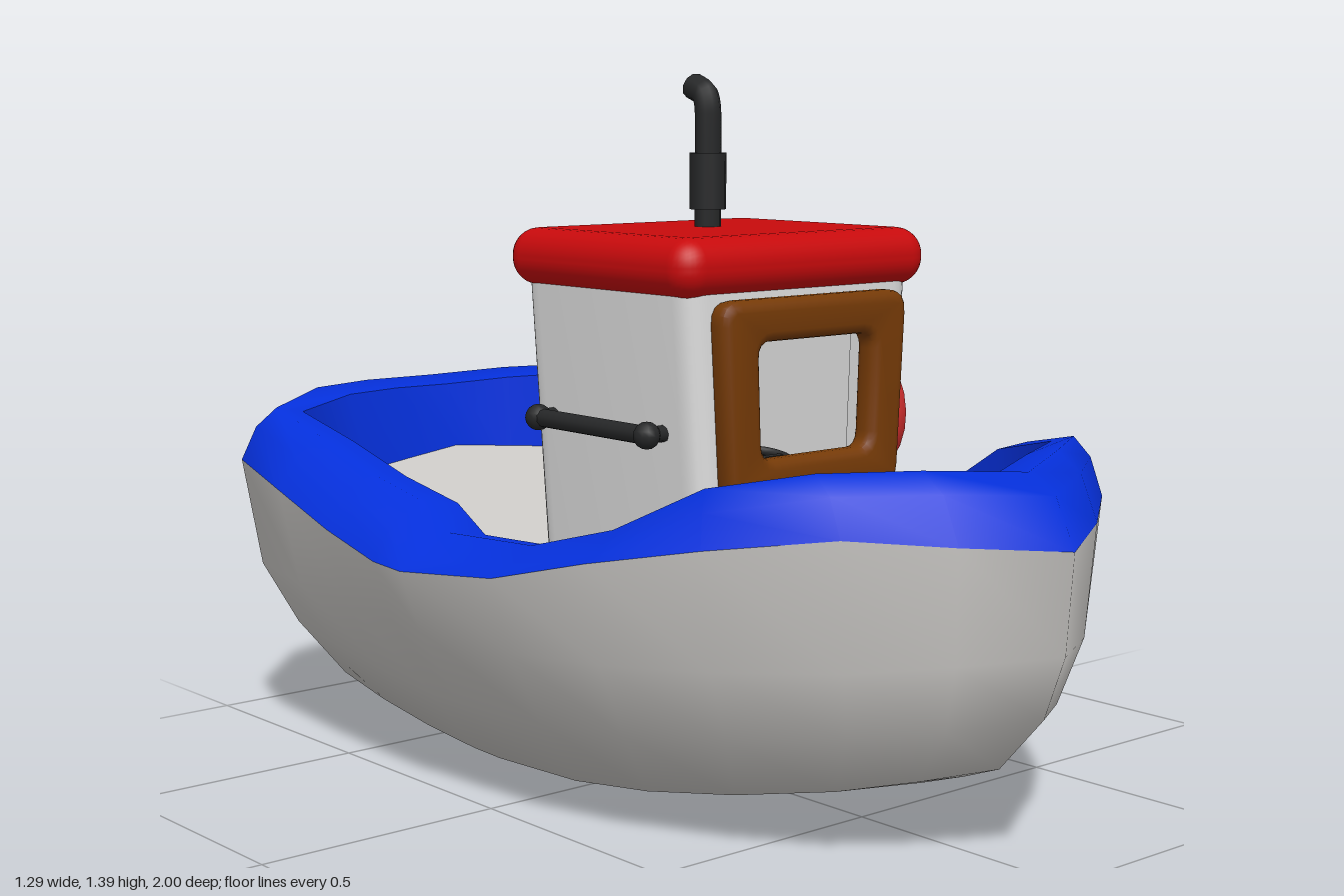
import * as THREE from 'three';
import { mergeVertices, toCreasedNormals } from 'three/addons/utils/BufferGeometryUtils.js';
import { RoundedBoxGeometry } from 'three/addons/geometries/RoundedBoxGeometry.js';

const paint = (name, color, side = THREE.FrontSide) => {
  const m = new THREE.MeshStandardMaterial({ color, side });
  m.name = name;
  return m;
};

export function createModel() {
  const boat = new THREE.Group();
  boat.name = 'boat';
  const white = paint('hullWhite', 0xcac8c5, THREE.DoubleSide);
  const cabinWhite = paint('cabinWhite', 0xe0e0e0);
  const blue = paint('rimBlue', 0x0530dc, THREE.DoubleSide);
  const red = paint('roofRed', 0xc80a0c);
  const buoyRed = paint('buoyRed', 0xd22e2e);
  const brown = paint('woodBrown', 0x753a07);
  const dark = paint('darkMetal', 0x262728);

  const add = (name, geo, mat, x = 0, y = 0, z = 0, parent = boat) => {
    const m = new THREE.Mesh(geo, mat);
    m.name = name;
    m.position.set(x, y, z);
    parent.add(m);
    return m;
  };

  // Half outline, bow to stern: outer x, outer z, inner x, inner z, rim bottom y, rim top y
  const half = [
    [0, 1.0, 0, 0.78, 0.585, 0.71],
    [0.18, 0.9, 0.17, 0.71, 0.6, 0.72],
    [0.34, 0.78, 0.33, 0.64, 0.615, 0.72],
    [0.475, 0.58, 0.36, 0.47, 0.585, 0.68],
    [0.57, 0.38, 0.385, 0.32, 0.545, 0.59],
    [0.625, 0.18, 0.41, 0.15, 0.495, 0.54],
    [0.645, -0.08, 0.41, -0.08, 0.47, 0.53],
    [0.645, -0.17, 0.41, -0.17, 0.475, 0.58],
    [0.635, -0.35, 0.41, -0.35, 0.51, 0.61],
    [0.62, -0.55, 0.41, -0.55, 0.56, 0.66],
    [0.6, -0.73, 0.41, -0.75, 0.6, 0.7],
    [0.415, -0.905, 0.27, -0.77, 0.63, 0.72],
    [0.235, -0.972, 0.14, -0.79, 0.62, 0.72],
    [0, -1.0, 0, -0.81, 0.6, 0.715],
  ];
  const loop = [
    ...half.map((p) => [1, p]),
    ...half.slice(1, -1).reverse().map((p) => [-1, p]),
  ];

  // Cross-section levels: each turns an outline point into a 3D point
  const hullAt = (sx, bowScale, sternScale, y, rise) => ([ox, oz]) =>
    [ox * sx, y + rise * oz * oz, oz * (oz > 0 ? bowScale : sternScale)];
  const rimAt = (t, drop) => ([ox, oz, ix, iz, , top]) =>
    [ox + (ix - ox) * t, top - drop, oz + (iz - oz) * t];
  const waist = ([ox, oz, , , low]) => [ox, low, oz];
  // The deck dips amidships and climbs towards both ends
  const deckY = (z) => 0.3 + 0.4 * z * z;
  const deckEdge = ([, , ix, iz]) => [ix, deckY(iz), iz];
  const deckMiddle = ([, , , iz]) => [0, deckY(iz), iz];

  // Skin a list of levels around the closed outline
  const loft = (levels) => {
    const pos = [], idx = [], n = loop.length;
    levels.forEach((f) => loop.forEach(([s, p]) => {
      const [x, y, z] = f(p);
      pos.push(x * s, y, z);
    }));
    for (let l = 0; l < levels.length - 1; l++) {
      for (let i = 0; i < n; i++) {
        const a = l * n + i, b = l * n + ((i + 1) % n);
        idx.push(a, b, a + n, b, b + n, a + n);
      }
    }
    let g = new THREE.BufferGeometry();
    g.setAttribute('position', new THREE.Float32BufferAttribute(pos, 3));
    g.setIndex(idx);
    g = mergeVertices(g);
    g.computeVertexNormals();
    return g;
  };

  add('hull', loft([
    hullAt(0, 0.84, 0.92, 0, 0.17),
    hullAt(0.66, 0.84, 0.92, 0.07, 0.1),
    hullAt(0.81, 0.94, 0.97, 0.2, 0.08),
    hullAt(0.935, 0.985, 0.99, 0.35, 0.05),
    waist,
  ]), white);
  add('rim', loft([waist, rimAt(0.2, 0.035), rimAt(0.48, 0), rimAt(0.84, 0.015)]), blue);
  add('rimInnerWall', loft([rimAt(0.84, 0.015), deckEdge]), blue);
  add('deck', loft([deckEdge, deckMiddle]), white);

  // Cabin: hollow, with a window in front and an open doorway behind
  const cabin = new THREE.Group();
  cabin.name = 'cabin';
  boat.add(cabin);
  const flare = (geo) => {
    const p = geo.attributes.position;
    for (let i = 0; i < p.count; i++) p.setX(i, p.getX(i) * (1 - 0.25 * (1 - p.getY(i))));
    return toCreasedNormals(geo, 0.6);
  };
  const quad = (Type, w, y0, y1, c) => {
    const s = new Type();
    s.moveTo(-w + c, y0);
    s.lineTo(w - c, y0).quadraticCurveTo(w, y0, w, y0 + c);
    s.lineTo(w, y1 - c).quadraticCurveTo(w, y1, w - c, y1);
    s.lineTo(-w + c, y1).quadraticCurveTo(-w, y1, -w, y1 - c);
    s.lineTo(-w, y0 + c).quadraticCurveTo(-w, y0, -w + c, y0);
    return s;
  };
  // Each half wall wraps from the doorway edge round to the window edge
  const doorHalf = 0.21, windowHalf = 0.165, back = -0.165, ahead = 0.335, wall = 0.29, r = 0.05, t = 0.04;
  const foot = 0.29, head = 1.01;
  for (const s of [-1, 1]) {
    const plan = new THREE.Shape();
    plan.moveTo(s * doorHalf, -back);
    plan.lineTo(s * (wall - r), -back).quadraticCurveTo(s * wall, -back, s * wall, -back - r);
    plan.lineTo(s * wall, -ahead + r).quadraticCurveTo(s * wall, -ahead, s * (wall - r), -ahead);
    plan.lineTo(s * windowHalf, -ahead).lineTo(s * windowHalf, -ahead + t);
    plan.lineTo(s * (wall - t), -ahead + t).lineTo(s * (wall - t), -back - t);
    plan.lineTo(s * doorHalf, -back - t);
    const g = new THREE.ExtrudeGeometry(plan, { depth: head - foot, bevelEnabled: false, curveSegments: 6 });
    add('cabinWall', flare(g.rotateX(-Math.PI / 2).translate(0, foot, 0)), cabinWhite, 0, 0, 0, cabin);
  }
  const filler = (name, w, y0, y1, z) =>
    add(name, flare(new THREE.BoxGeometry(w * 2, y1 - y0, t).translate(0, (y0 + y1) / 2, z)), cabinWhite, 0, 0, 0, cabin);
  filler('windowSill', windowHalf, foot, 0.66, ahead - t / 2);
  filler('windowLintel', windowHalf, 0.92, head, ahead - t / 2);
  filler('doorLintel', doorHalf, 0.95, head, back + t / 2);

  // Wooden window surround
  const frame = quad(THREE.Shape, 0.242, 0.595, 0.98, 0.045);
  frame.holes.push(quad(THREE.Path, 0.15, 0.68, 0.9, 0.03));
  const frameGeo = new THREE.ExtrudeGeometry(frame, {
    depth: 0.015, bevelSize: 0.02, bevelThickness: 0.02, bevelOffset: -0.02, bevelSegments: 3, curveSegments: 4,
  });
  add('windowFrame', flare(frameGeo.translate(0, 0, 0.342)), brown, 0, 0, 0, cabin);
  add('roof', new RoundedBoxGeometry(0.64, 0.112, 0.55, 4, 0.053), red, 0, 1.04, 0.085, cabin);

  // Steering pedestal and wheel
  add('pedestal', new THREE.CylinderGeometry(0.025, 0.05, 0.34, 12), cabinWhite, 0, 0.47, 0.21, cabin);
  const wheel = new THREE.Group();
  wheel.name = 'steeringWheel';
  wheel.position.set(0, 0.65, 0.21);
  wheel.rotation.x = -1.4;
  cabin.add(wheel);
  add('wheelRing', new THREE.TorusGeometry(0.065, 0.009, 8, 20), dark, 0, 0, 0, wheel);
  for (let i = 0; i < 3; i++) {
    add('wheelSpoke', new THREE.BoxGeometry(0.13, 0.01, 0.01), dark, 0, 0, 0, wheel).rotation.z = i * Math.PI / 3;
  }

  // Exhaust stack, bent towards the stern
  const tube = (points, radius, tension) => new THREE.TubeGeometry(
    new THREE.CatmullRomCurve3(points.map((p) => new THREE.Vector3(...p)), false, 'catmullrom', tension), 48, radius, 10);
  add('stackPipe', tube([[0, 1.08, 0.057], [0, 1.32, 0.057], [0, 1.355, 0.047], [0, 1.37, 0.012]], 0.026, 0.2), dark);
  add('stackCollar', new THREE.CylinderGeometry(0.036, 0.036, 0.11, 14), dark, 0, 1.185, 0.057);
  add('stackMouth', new THREE.CircleGeometry(0.026, 10).rotateY(Math.PI), dark, 0, 1.37, 0.012);

  // Lifebuoy in two colours, hanging from a hook on the left wall
  const buoy = new THREE.Group();
  buoy.name = 'lifebuoy';
  buoy.position.set(0.365, 0.706, 0.08);
  buoy.rotation.y = Math.PI / 2;
  boat.add(buoy);
  const whiteArc = 1.95;
  add('buoyWhite', new THREE.TorusGeometry(0.103, 0.051, 12, 8, whiteArc), white, 0, 0, 0, buoy).rotation.z = -0.38;
  add('buoyRed', new THREE.TorusGeometry(0.103, 0.051, 12, 17, Math.PI * 2 - whiteArc), buoyRed, 0, 0, 0, buoy)
    .rotation.z = whiteArc - 0.38;
  add('buoyHook', tube([
    [0.27, 0.965, 0.08], [0.315, 0.965, 0.08], [0.338, 0.945, 0.08], [0.3, 0.86, 0.08], [0.3, 0.78, 0.08],
    [0.33, 0.74, 0.08], [0.4, 0.745, 0.08], [0.43, 0.79, 0.08], [0.418, 0.84, 0.08],
  ], 0.014, 0.1), dark);

  // Handrail on the right wall
  add('handrail', new THREE.CylinderGeometry(0.018, 0.018, 0.35, 10).rotateX(Math.PI / 2), dark, -0.31, 0.73, 0.075);
  for (const z of [-0.09, 0.24]) {
    add('railKnob', new THREE.SphereGeometry(0.026, 12, 8), dark, -0.31, 0.73, z);
    add('railPost', new THREE.CylinderGeometry(0.016, 0.016, 0.06, 8).rotateZ(Math.PI / 2), dark, -0.285, 0.73, z);
  }
  return boat;
}
